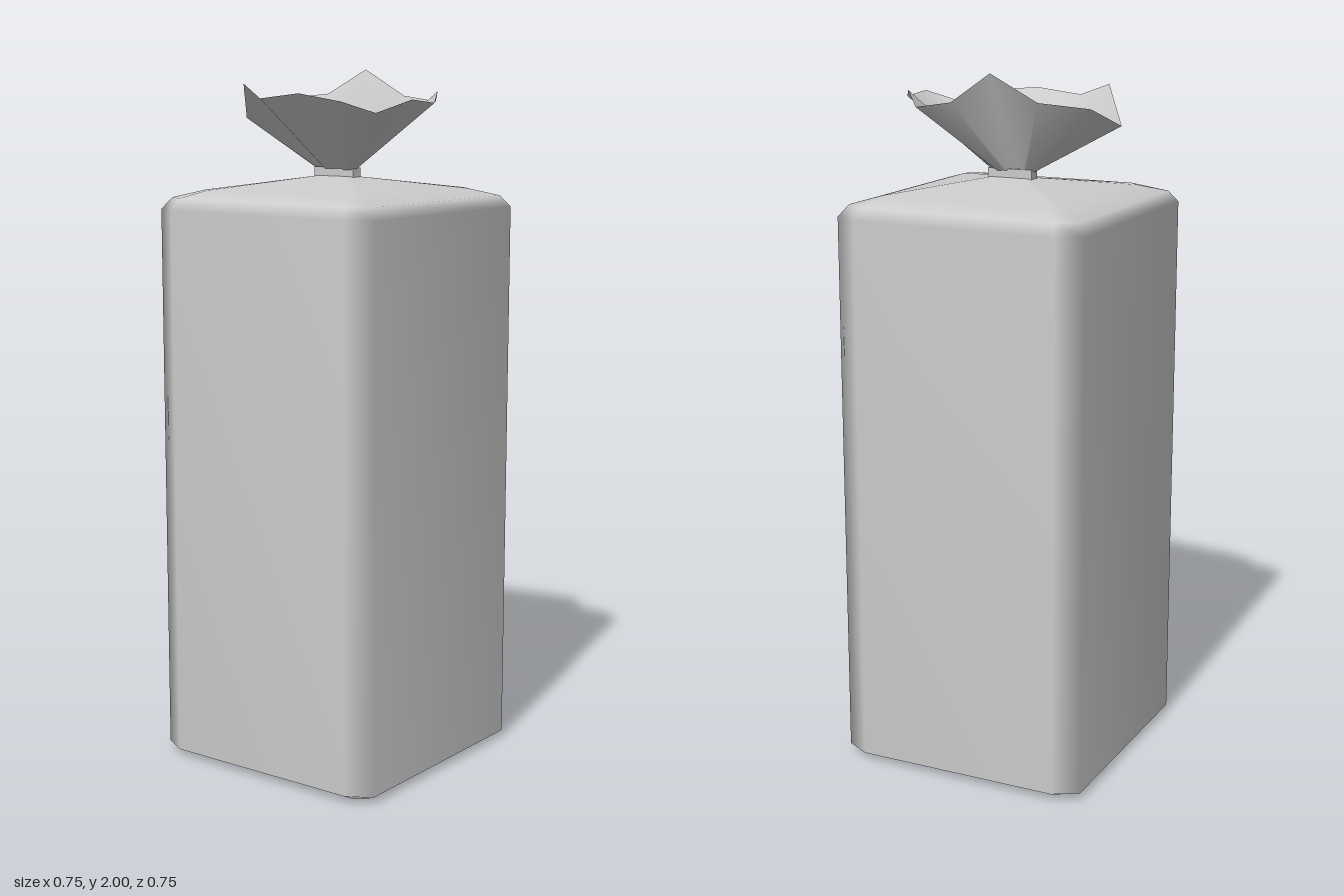
import * as THREE from 'three';

// Skin a stack of closed rings (bottom to top, points running from +x towards +z).
function loft(rings, closeBottom = false) {
  const n = rings[0].length;
  const positions = rings.flat(2);
  const index = [];
  for (let r = 0; r < rings.length - 1; r++) {
    for (let i = 0; i < n; i++) {
      const j = (i + 1) % n;
      const a = r * n + i, b = r * n + j, c = a + n, d = b + n;
      index.push(a, c, d, a, d, b);
    }
  }
  if (closeBottom) for (let i = 1; i < n - 1; i++) index.push(0, i, i + 1);
  const geometry = new THREE.BufferGeometry();
  geometry.setAttribute('position', new THREE.Float32BufferAttribute(positions, 3));
  geometry.setIndex(index);
  geometry.computeVertexNormals();
  return geometry;
}

// Rectangle with cut corners: half width, half depth, corner cuts along x and z.
function cutRectangle(y, w, d, cx, cz) {
  return [
    [w, y, d - cz], [w - cx, y, d], [cx - w, y, d], [-w, y, d - cz],
    [-w, y, cz - d], [cx - w, y, -d], [w - cx, y, -d], [w, y, cz - d],
  ];
}

export function createModel() {
  const group = new THREE.Group();
  const material = new THREE.MeshStandardMaterial({ color: 0xcccccc, side: THREE.DoubleSide });
  const add = (name, geometry) => {
    const mesh = new THREE.Mesh(geometry, material);
    mesh.name = name;
    group.add(mesh);
  };

  // Square bag with softened edges and a shallow roof gathered to the neck
  add('bagBody', loft([
    cutRectangle(0, 0.335, 0.335, 0.035, 0.025),
    cutRectangle(0.02, 0.375, 0.375, 0.072, 0.04),
    cutRectangle(1.61, 0.375, 0.375, 0.072, 0.04),
    cutRectangle(1.643, 0.352, 0.352, 0.06, 0.04),
    cutRectangle(1.664, 0.28, 0.28, 0.03, 0.03),
    cutRectangle(1.703, 0.045, 0.005, 0.005, 0.002),
  ], true));

  // Flat clip round the pinched neck
  const clip = new THREE.BoxGeometry(0.136, 0.028, 0.036);
  clip.translate(0, 1.712, 0);
  add('neckClip', clip);

  // Crumpled open top flaring out of the neck
  const rim = [
    [0.352, 1.91, 0.03], [0.34, 1.92, 0.12], [0.285, 1.885, 0.21], [0.2, 1.915, 0.252],
    [0.015, 1.935, 0.2], [-0.12, 1.92, 0.2], [-0.24, 1.96, 0.127], [-0.33, 1.86, 0.005],
    [-0.29, 1.915, -0.115], [-0.155, 1.93, -0.163], [0.005, 2, -0.13],
    [0.085, 1.925, -0.21], [0.185, 1.91, -0.225], [0.285, 1.94, -0.085],
  ];
  const pinch = rim.map(([x, , z]) => {
    const angle = Math.atan2(z, x);
    return [0.045 * Math.cos(angle), 1.706, 0.004 * Math.sin(angle)];
  });
  add('gatheredTop', loft([pinch, rim]));

  return group;
}
